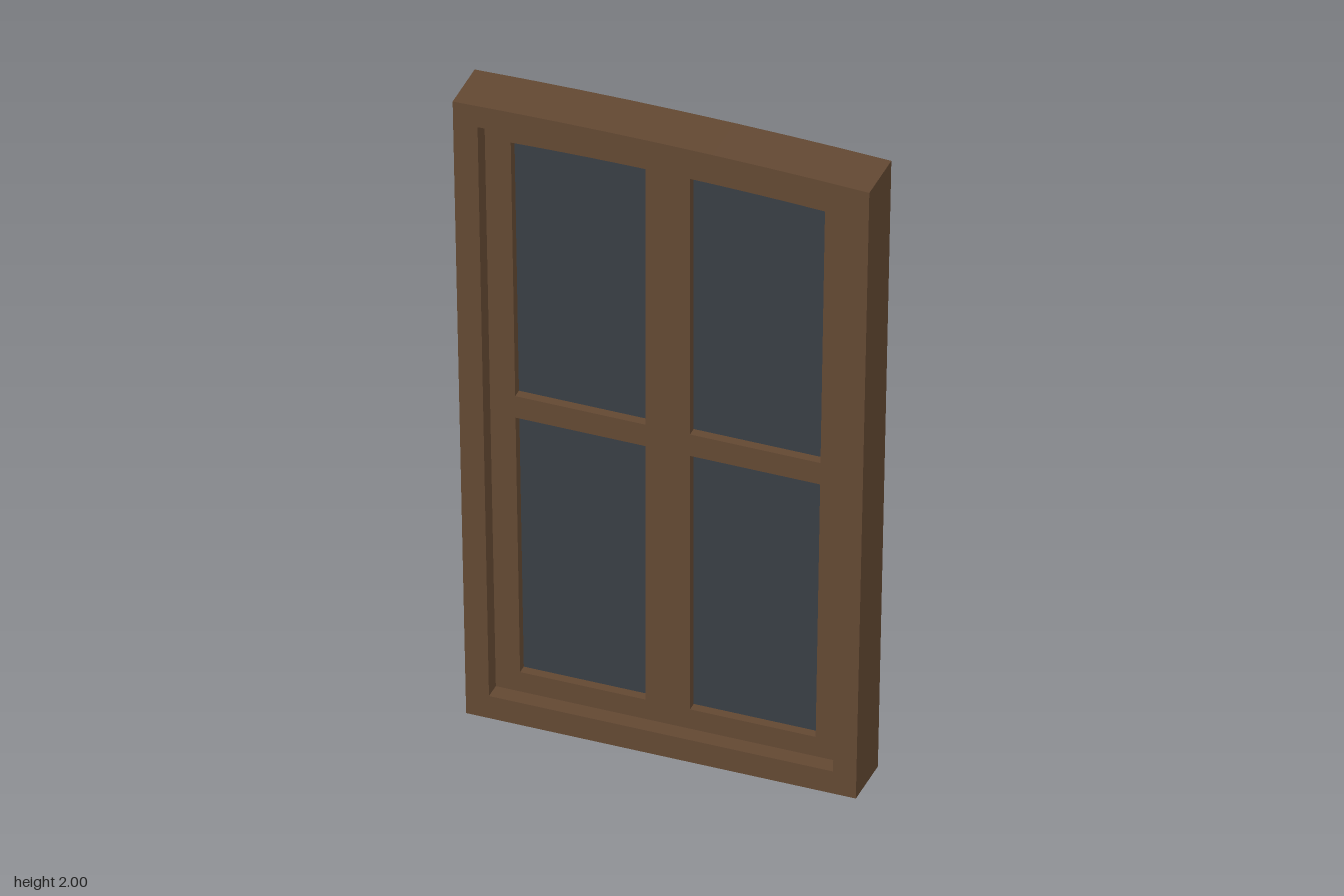
import * as THREE from 'three';

const wood = new THREE.MeshStandardMaterial({ color: 0x624832 });
wood.name = 'darkWood';
const glass = new THREE.MeshStandardMaterial({ color: 0x383e44 });
glass.name = 'smokyGlass';

const ARCH_SEGMENTS = 8;

// Outline with straight leaning sides and a slightly bowed top.
// b, t: [left x, right x] at the bottom and top; top(x) gives the upper edge height.
function outline(b, t, y0, top) {
  const pts = [new THREE.Vector2(b[0], y0), new THREE.Vector2(b[1], y0)];
  for (let i = 0; i <= ARCH_SEGMENTS; i++) {
    const x = THREE.MathUtils.lerp(t[1], t[0], i / ARCH_SEGMENTS);
    pts.push(new THREE.Vector2(x, top(x)));
  }
  return pts;
}

const bow = (peak, halfWidth, drop) => (x) => peak - drop * (x / halfWidth) ** 2;
const flat = (y) => () => y;

// Plate centred on z = 0, cut through by the given hole outlines.
function plate(name, points, holes, depth, material) {
  const shape = new THREE.Shape(points);
  holes.forEach((h) => shape.holes.push(new THREE.Path(h)));
  const geo = new THREE.ExtrudeGeometry(shape, { depth, bevelEnabled: false });
  geo.translate(0, 0, -depth / 2);
  const mesh = new THREE.Mesh(geo, material);
  mesh.name = name;
  return mesh;
}

export function createModel() {
  const model = new THREE.Group();
  model.name = 'window';

  const outer = outline([-0.563, 0.563], [-0.602, 0.602], 0, bow(2, 0.602, 0.012));
  const opening = outline([-0.497, 0.497], [-0.53, 0.53], 0.072, bow(1.932, 0.53, 0.01));

  // Four pane openings, mirrored about the centre bar
  const panes = [];
  for (const s of [-1, 1]) {
    const span = (w) => (s > 0 ? [0.064, w] : [-w, -0.064]);
    panes.push(outline(span(0.427), span(0.44), 0.135, flat(0.963)));
    panes.push(outline(span(0.441), span(0.454), 1.033, bow(1.868, 0.454, 0.01)));
  }

  // Outer frame and the thinner sash set inside it
  model.add(plate('frame', outer, [opening], 0.164, wood));
  model.add(plate('sash', opening, panes, 0.062, wood));

  // Glass panes
  panes.forEach((p, i) => model.add(plate('pane' + (i + 1), p, [], 0.006, glass)));

  return model;
}
